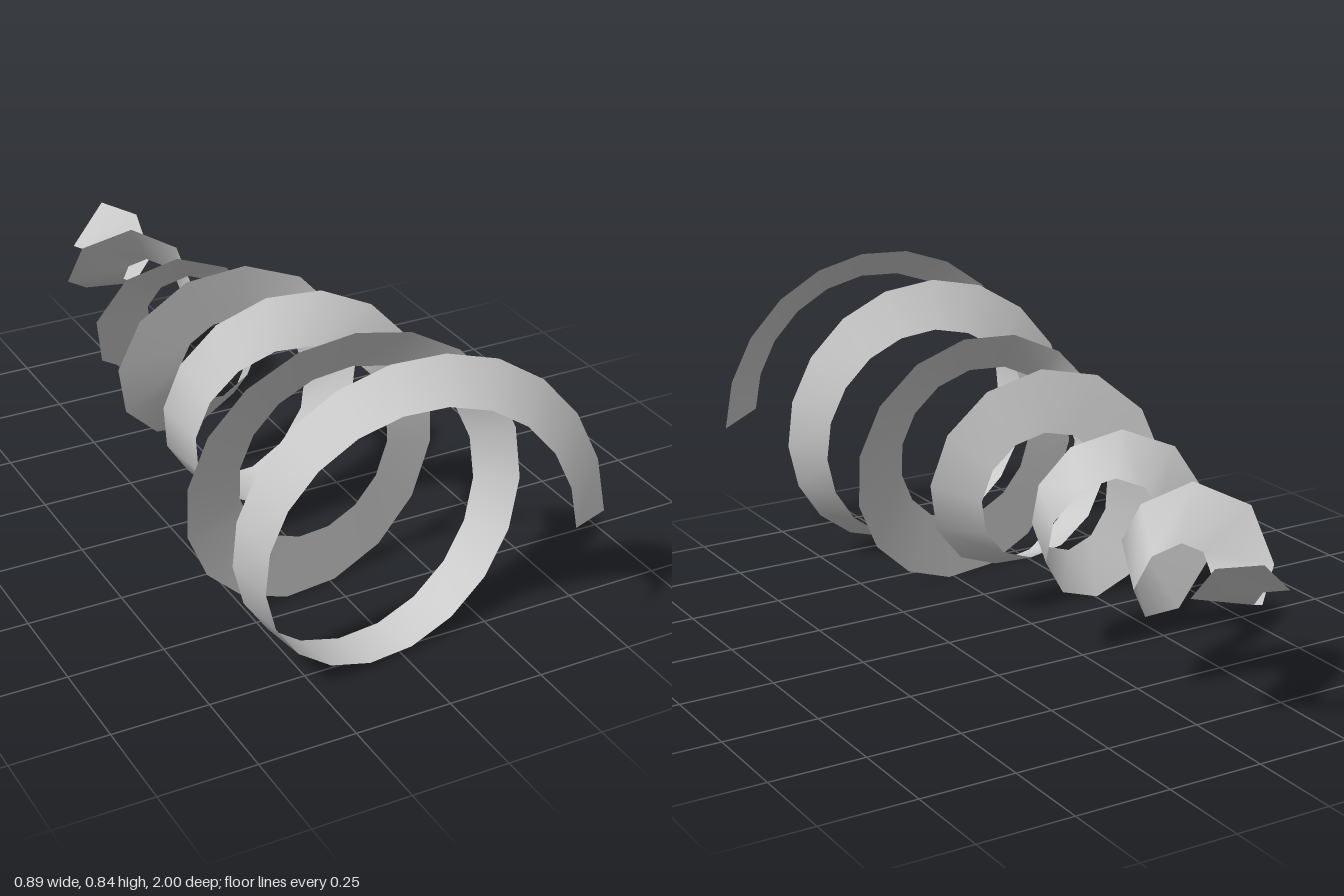
import * as THREE from 'three';

const TURNS = 6.29;        // revolutions from the wide end to the tip
const SEGMENTS = 80;       // equal-length facets along the ribbon
const HALF_WIDTH = 0.084;
const TILT = THREE.MathUtils.degToRad(42); // lean of the ribbon at its wide end
const SQUASH = 0.6;        // depth scale applied after sweeping

// Conical helix narrowing towards the back
class ConeHelix extends THREE.Curve {
  getPoint(t, target = new THREE.Vector3()) {
    const angle = -0.04 + t * TURNS * Math.PI * 2;
    const radius = THREE.MathUtils.lerp(0.42, 0.044, t);
    const z = THREE.MathUtils.lerp(0.965, -0.98, t) / SQUASH;
    return target.set(-0.03 + radius * Math.cos(angle), 0.4 + radius * Math.sin(angle), z);
  }
}

// Flat strip swept along a curve, turning with its transported frames
function ribbonGeometry(curve) {
  curve.arcLengthDivisions = 2000;
  const frames = curve.computeFrenetFrames(SEGMENTS, false);
  const positions = [];
  const indices = [];
  for (let i = 0; i <= SEGMENTS; i++) {
    const centre = curve.getPointAt(i / SEGMENTS);
    const across = frames.normals[i].clone().multiplyScalar(Math.cos(TILT))
      .addScaledVector(frames.binormals[i], Math.sin(TILT));
    for (const side of [-1, 1]) {
      const p = centre.clone().addScaledVector(across, side * HALF_WIDTH);
      positions.push(p.x, p.y, p.z * SQUASH);
    }
    if (i < SEGMENTS) {
      const a = i * 2;
      indices.push(a, a + 1, a + 2, a + 1, a + 3, a + 2);
    }
  }
  const geometry = new THREE.BufferGeometry();
  geometry.setAttribute('position', new THREE.Float32BufferAttribute(positions, 3));
  geometry.setIndex(indices);

  // Centre it and stand it on the ground
  geometry.computeBoundingBox();
  const { min, max } = geometry.boundingBox;
  geometry.translate(-(min.x + max.x) / 2, -min.y, -(min.z + max.z) / 2);
  geometry.computeVertexNormals();
  return geometry;
}

export function createModel() {
  const group = new THREE.Group();
  group.name = 'spiralRibbon';
  const material = new THREE.MeshStandardMaterial({ color: 0xcccccc, side: THREE.DoubleSide });
  const ribbon = new THREE.Mesh(ribbonGeometry(new ConeHelix()), material);
  ribbon.name = 'ribbon';
  group.add(ribbon);
  return group;
}
